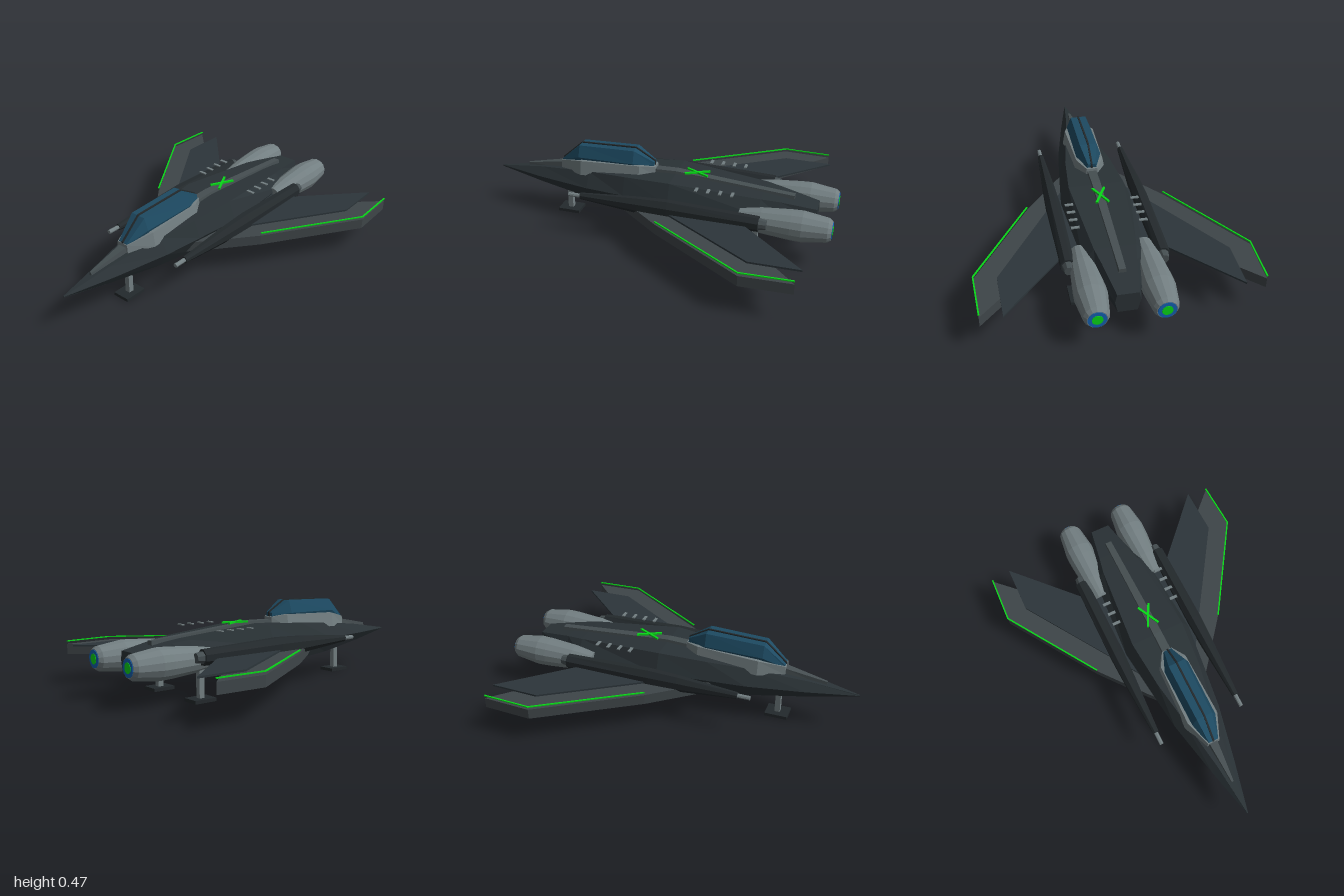
import * as THREE from 'three';

const mat = (color) => new THREE.MeshStandardMaterial({ color, flatShading: true });
const M = {
  hull: mat(0x2a3236), dark: mat(0x23292c), wing: mat(0x3e4548), plate: mat(0x2c353a),
  metal: mat(0x727e81), trim: mat(0x454e51), glass: mat(0x1d4a62),
  green: mat(0x08d818), blue: mat(0x1560b0),
};

function part(name, geometry, material, x = 0, y = 0, z = 0) {
  const mesh = new THREE.Mesh(geometry, material);
  mesh.name = name;
  mesh.position.set(x, y, z);
  return mesh;
}
const box = (name, w, h, d, m, x, y, z) => part(name, new THREE.BoxGeometry(w, h, d), m, x, y, z);

// Faceted skin through rings [{z, ring: [[x, y], ...]}], ordered from front to back, capped at both ends
function loft(sections) {
  const pos = [];
  const put = (s, i) => pos.push(s.ring[i][0], s.ring[i][1], s.z);
  const n = sections[0].ring.length;
  for (let k = 0; k + 1 < sections.length; k++) {
    const f = sections[k], b = sections[k + 1];
    for (let i = 0; i < n; i++) {
      const j = (i + 1) % n;
      put(f, i); put(b, i); put(f, j);
      put(f, j); put(b, i); put(b, j);
    }
  }
  const first = sections[0], last = sections[sections.length - 1];
  for (let i = 1; i + 1 < n; i++) {
    put(first, 0); put(first, i); put(first, i + 1);
    put(last, 0); put(last, i + 1); put(last, i);
  }
  const g = new THREE.BufferGeometry();
  g.setAttribute('position', new THREE.Float32BufferAttribute(pos, 3));
  g.computeVertexNormals();
  return g;
}

// Hexagonal section: middle, top and bottom half widths with their heights
const hex = ([z, wm, ym, wt, yt, wb, yb]) => ({
  z, ring: [[wm, ym], [wt, yt], [-wt, yt], [-wm, ym], [-wb, yb], [wb, yb]],
});
// Four-sided section: base half width and height, top half width and height
const quad = ([z, wb, yb, wt, yt]) => ({ z, ring: [[wb, yb], [wt, yt], [-wt, yt], [-wb, yb]] });
// Octagonal section around (0, y)
const oct = ([z, w, h, y]) => ({
  z, ring: [[1, -.4], [1, .4], [.4, 1], [-.4, 1], [-1, .4], [-1, -.4], [-.4, -1], [.4, -1]]
    .map(([a, b]) => [a * w, y + b * h]),
});

// Flat slab from an outline of [x, z] points
function slab(outline, y, height, s) {
  const shape = new THREE.Shape(outline.map(([x, z]) => new THREE.Vector2(x * s, -z)));
  return new THREE.ExtrudeGeometry(shape, { depth: height, bevelEnabled: false })
    .rotateX(-Math.PI / 2).translate(0, y, 0);
}

// Thin straight bar between two [x, z] points
function bar(name, a, b, y, w, h, m) {
  const dx = b[0] - a[0], dz = b[1] - a[1];
  const mesh = box(name, w, h, Math.hypot(dx, dz), m, (a[0] + b[0]) / 2, y, (a[1] + b[1]) / 2);
  mesh.rotation.y = Math.atan2(dx, dz);
  return mesh;
}

function landingGear(name, x, z, top) {
  const g = new THREE.Group();
  g.name = name;
  g.add(box('strut', .03, top - .015, .03, M.metal, x, (top + .015) / 2, z));
  g.add(box('footPad', .1, .018, .13, M.dark, x, .009, z));
  return g;
}

function wing(s) {
  const g = new THREE.Group();
  g.name = s > 0 ? 'leftWing' : 'rightWing';
  const lower = [[.1, .26], [.19, .16], [.39, -.09], [.727, -.61], [.715, -.88], [.3, -.47], [.1, -.47]];
  const upper = [[.15, .08], [.27, -.11], [.607, -.63], [.602, -.9], [.27, -.54], [.15, -.54]];
  g.add(part('wingSlab', slab(lower, .16, .058, s), M.wing));
  g.add(part('wingPlate', slab(upper, .218, .01, s), M.plate));
  const edge = [[.39 * s, -.09], [.725 * s, -.61], [.714 * s, -.88]];
  g.add(bar('leadingEdgeLight', edge[0], edge[1], .235, .008, .006, M.green));
  g.add(bar('tipLight', edge[1], edge[2], .235, .008, .006, M.green));
  return g;
}

function engine(s) {
  const g = new THREE.Group();
  g.name = s > 0 ? 'leftEngine' : 'rightEngine';
  g.position.set(.17 * s, .215, 0);
  const profile = [[0, -.995], [.052, -.995], [.066, -.975], [.085, -.84], [.083, -.78], [.07, -.62], [.05, -.5], [0, -.5]]
    .map(([r, z]) => new THREE.Vector2(r, z));
  g.add(part('nacelle', new THREE.LatheGeometry(profile, 14).rotateX(Math.PI / 2), M.metal));
  const disc = (r, d) => new THREE.CylinderGeometry(r, r, d, 14).rotateX(Math.PI / 2);
  g.add(part('exhaustRing', disc(.048, .006), M.blue, 0, 0, -.995));
  g.add(part('exhaustCore', disc(.028, .006), M.green, 0, 0, -.997));
  return g;
}

function cannonPod(s) {
  const g = new THREE.Group();
  g.name = s > 0 ? 'leftCannonPod' : 'rightCannonPod';
  g.position.x = .248 * s;
  g.add(part('podBody', loft([
    [.39, .016, .018, .24], [.05, .034, .046, .238], [-.12, .04, .054, .237], [-.62, .036, .04, .235],
  ].map(oct)), M.dark));
  g.add(part('podTail', loft([[-.61, .03, .032, .235], [-.66, .022, .024, .235]].map(oct)), M.trim));
  const barrel = new THREE.CylinderGeometry(.012, .012, .1, 8).rotateX(Math.PI / 2);
  g.add(part('barrel', barrel, M.metal, 0, .24, .41));
  return g;
}

export function createModel() {
  const model = new THREE.Group();
  model.name = 'starfighter';

  // Fuselage
  model.add(part('fuselage', loft([
    [1, .003, .226, .002, .23, .002, .222],
    [.72, .07, .225, .035, .275, .04, .178],
    [.4, .138, .23, .09, .315, .085, .14],
    [.17, .168, .235, .13, .333, .115, .128],
    [-.1, .2, .238, .155, .345, .13, .12],
    [-.6, .165, .235, .11, .307, .115, .135],
    [-.7, .12, .23, .09, .295, .09, .14],
    [-.9, .065, .215, .055, .262, .05, .15],
  ].map(hex)), M.hull));

  // Raised strips along the nose and the back
  model.add(part('noseStrip', loft([
    [.82, .008, .24, .006, .276], [.58, .03, .28, .024, .322], [.5, .03, .28, .024, .322],
  ].map(quad)), M.trim));
  model.add(part('spine', loft([
    [.05, .03, .32, .025, .355], [-.1, .028, .33, .024, .36], [-.77, .022, .27, .018, .306],
  ].map(quad)), M.trim));

  // Cockpit: frame, glass and centre rib
  model.add(part('canopyFrame', loft([
    [.592, .038, .29, .034, .338], [.45, .1, .29, .086, .372],
    [.1, .09, .31, .076, .385], [.02, .035, .32, .03, .372],
  ].map(quad)), M.metal));
  model.add(part('canopyGlass', loft([
    [.588, .03, .33, .028, .342, .03, .325], [.47, .07, .385, .045, .45, .06, .35],
    [.14, .072, .39, .048, .46, .06, .35], [.03, .027, .376, .022, .396, .025, .35],
  ].map(hex)), M.glass));
  model.add(part('canopyRib', loft([
    [.592, .006, .32, .005, .347], [.47, .006, .42, .005, .456],
    [.14, .006, .43, .005, .467], [.026, .006, .36, .005, .4],
  ].map(quad)), M.dark));

  // Crossed light bars on the back
  for (const s of [1, -1]) {
    model.add(bar('crossLight', [-.033 * s, -.285], [.033 * s, -.155], .359, .012, .01, M.green));
  }

  // Mirrored parts
  for (const s of [1, -1]) {
    model.add(wing(s), engine(s), cannonPod(s));
    for (let i = 0; i < 4; i++) {
      model.add(box('vent', .045, .006, .016, M.metal, .18 * s, .347, -.26 - i * .066));
    }
    model.add(landingGear(s > 0 ? 'rearLeftGear' : 'rearRightGear', .193 * s, -.595, .2));
  }
  model.add(landingGear('frontGear', 0, .56, .2));
  return model;
}
